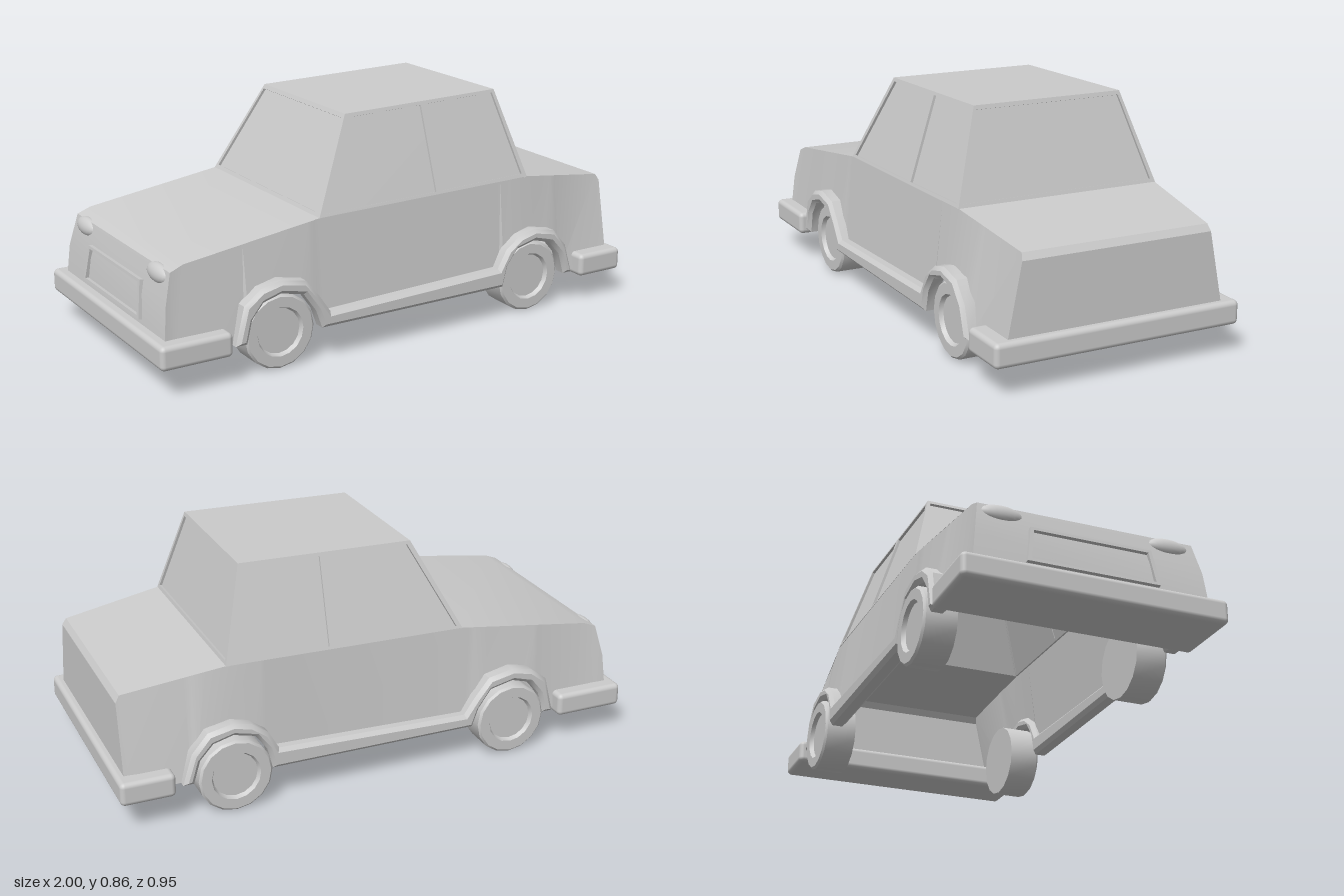
import * as THREE from 'three';
import { toCreasedNormals } from 'three/addons/utils/BufferGeometryUtils.js';
import { RoundedBoxGeometry } from 'three/addons/geometries/RoundedBoxGeometry.js';

const material = new THREE.MeshStandardMaterial({ color: 0xcccccc, side: THREE.DoubleSide });

function addMesh(parent, name, geometry) {
  const mesh = new THREE.Mesh(geometry, material);
  mesh.name = name;
  parent.add(mesh);
  return mesh;
}

// Geometry from four-cornered faces, corners anticlockwise seen from outside
function quads(faces) {
  const positions = [];
  for (const [a, b, c, d] of faces) positions.push(...a, ...b, ...c, ...a, ...c, ...d);
  const geometry = new THREE.BufferGeometry();
  geometry.setAttribute('position', new THREE.Float32BufferAttribute(positions, 3));
  return toCreasedNormals(geometry, 0.35);
}

// Height of a polyline at x
function heightAt(line, x) {
  let i = 1;
  while (i < line.length - 1 && x > line[i][0]) i++;
  const [x0, y0] = line[i - 1], [x1, y1] = line[i];
  return y0 + (y1 - y0) * THREE.MathUtils.clamp((x - x0) / (x1 - x0), 0, 1);
}

// Body half width: leans inward with height, more so towards both ends
function halfWidth(x, y) {
  const clamp = THREE.MathUtils.clamp;
  const lean = 0.106 + 0.15 * clamp((x - 0.58) / 0.38, 0, 1) + 0.06 * clamp((-x - 0.35) / 0.6, 0, 1);
  return 0.43 - Math.max(0, y - 0.2) * lean;
}

// Framed panel on four corners (bl, br, tr, tl from outside); holes in 0..1 coordinates
function addPanel(parent, name, corners, holes, depth = 0.012) {
  const [bl, br, tr, tl] = corners.map((c) => new THREE.Vector3(...c));
  const normal = br.clone().sub(bl).cross(tl.clone().sub(bl)).normalize();
  const at = (u, v, w) => bl.clone().lerp(br, u).lerp(tl.clone().lerp(tr, u), v).addScaledVector(normal, w);
  const toPoints = (list) => list.map(([u, v]) => new THREE.Vector2(u, v));
  const shape = new THREE.Shape(toPoints([[0, 0], [1, 0], [1, 1], [0, 1]]));
  shape.holes = holes.map((h) => new THREE.Path(toPoints([...h].reverse())));
  const frame = new THREE.ExtrudeGeometry(shape, { depth, bevelEnabled: false });
  const p = frame.attributes.position;
  for (let i = 0; i < p.count; i++) {
    const q = at(p.getX(i), p.getY(i), p.getZ(i) - depth);
    p.setXYZ(i, q.x, q.y, q.z);
  }
  addMesh(parent, name + 'Frame', toCreasedNormals(frame, 0.35));
  const panes = holes.map((h) => h.map(([u, v]) => at(u, v, -depth * 0.8).toArray()));
  addMesh(parent, name + 'Pane', quads(panes));
}

// Long profile of the lower body, nose to tail
const profile = [[-0.965, 0.13], [-0.95, 0.3], [-0.92, 0.42], [-0.87, 0.44], [-0.34, 0.515],
  [0.58, 0.53], [0.955, 0.475], [0.97, 0.45], [0.971, 0.13]];
// Wheel arch openings and the outer edge of the arch trim
const opening = [[-0.665, 0.13], [-0.645, 0.215], [-0.6, 0.27], [-0.53, 0.29], [-0.44, 0.27], [-0.39, 0.2], [-0.365, 0.13],
  [0.435, 0.13], [0.455, 0.21], [0.5, 0.27], [0.58, 0.29], [0.655, 0.27], [0.705, 0.215], [0.73, 0.13]];
const trimTop = [[-0.71, 0.13], [-0.675, 0.27], [-0.61, 0.32], [-0.53, 0.338], [-0.43, 0.318], [-0.375, 0.25], [-0.33, 0.185],
  [0.41, 0.205], [0.45, 0.275], [0.51, 0.318], [0.58, 0.335], [0.675, 0.315], [0.735, 0.245], [0.77, 0.13]];

function addBody(car) {
  const body = new THREE.Group();
  body.name = 'body';
  car.add(body);

  // Bonnet with nose, boot lid with tail
  const strip = (line) => quads(line.slice(1).map(([x1, y1], i) => {
    const [x0, y0] = line[i];
    const w0 = halfWidth(x0, y0), w1 = halfWidth(x1, y1);
    return [[x0, y0, w0], [x1, y1, w1], [x1, y1, -w1], [x0, y0, -w0]];
  }));
  addMesh(body, 'bonnetAndNose', strip(profile.slice(0, 5)));
  addMesh(body, 'bootAndTail', strip(profile.slice(5)));

  // Flanks, cut out above the wheels
  const xs = [...new Set([...profile, ...opening].map((p) => p[0]))].sort((a, b) => a - b);
  for (const side of [1, -1]) {
    const corner = (x, y) => [x, y, side * halfWidth(x, y)];
    const faces = xs.slice(1).map((x1, i) => {
      const x0 = xs[i];
      const face = [
        corner(x0, heightAt(opening, x0)), corner(x1, heightAt(opening, x1)),
        corner(x1, heightAt(profile, x1)), corner(x0, heightAt(profile, x0))];
      return side > 0 ? face : face.reverse();
    });
    addMesh(body, side > 0 ? 'flankA' : 'flankB', quads(faces));

    // Sill running into both wheel arches
    const outline = [...trimTop, ...[...opening].reverse()].map(([x, y]) => new THREE.Vector2(x, y));
    const bevel = 0.014;
    const trim = new THREE.ExtrudeGeometry(new THREE.Shape(outline), {
      depth: 0.04, bevelThickness: bevel, bevelSize: bevel, bevelOffset: -bevel, bevelSegments: 1 });
    trim.translate(0, 0, side > 0 ? 0.413 : -0.453);
    addMesh(body, 'sillAndArches', toCreasedNormals(trim, 0.5));
  }
}

function addCabin(car) {
  const cabin = new THREE.Group();
  cabin.name = 'cabin';
  car.add(cabin);
  // Corner posts: base and roof points at windscreen and rear
  const base = 0.397, top = 0.292;
  const fb = (s) => [-0.34, 0.515, s * base], ft = (s) => [-0.17, 0.847, s * top];
  const rb = (s) => [0.58, 0.53, s * base], rt = (s) => [0.49, 0.86, s * top];

  addMesh(cabin, 'roof', quads([[ft(1), rt(1), rt(-1), ft(-1)]]));
  const screen = [[[0.02, 0.04], [0.98, 0.04], [0.98, 0.955], [0.02, 0.955]]];
  addPanel(cabin, 'windscreen', [fb(-1), fb(1), ft(1), ft(-1)], screen);
  addPanel(cabin, 'rearWindow', [rb(1), rb(-1), rt(-1), rt(1)], screen);

  const sideWindows = [
    [[0.02, 0.03], [0.545, 0.03], [0.495, 0.96], [0.03, 0.96]],
    [[0.575, 0.03], [0.98, 0.04], [0.98, 0.965], [0.54, 0.965]]];
  const mirrored = sideWindows.map((h) => h.map(([u, v]) => [1 - u, v]).reverse());
  addPanel(cabin, 'sideWindows', [fb(1), rb(1), rt(1), ft(1)], sideWindows);
  addPanel(cabin, 'sideWindows', [rb(-1), fb(-1), ft(-1), rt(-1)], mirrored);
}

function addWheels(car) {
  // Tyre with a recessed hub on its outer face
  const points = [[0, -0.06], [0.138, -0.06], [0.138, 0.052], [0.13, 0.06], [0.092, 0.06], [0.084, 0.045], [0, 0.045]];
  const lathe = new THREE.LatheGeometry(points.map(([r, y]) => new THREE.Vector2(r, y)), 16);
  const geometry = toCreasedNormals(lathe.rotateX(Math.PI / 2), 0.5);
  for (const [name, x] of [['frontWheel', -0.52], ['rearWheel', 0.58]]) {
    for (const z of [0.37, -0.415]) {
      const wheel = addMesh(car, name, geometry);
      wheel.position.set(x, 0.138, z);
      if (z < 0) wheel.rotation.y = Math.PI;
    }
  }
}

export function createModel() {
  const car = new THREE.Group();
  car.name = 'car';
  addBody(car);
  addCabin(car);
  addWheels(car);

  // Bumpers wrapping both ends
  for (const [name, x, length] of [['frontBumper', -0.864, 0.272], ['rearBumper', 0.9, 0.2]]) {
    addMesh(car, name, new RoundedBoxGeometry(length, 0.088, 0.955, 3, 0.018)).position.set(x, 0.15, 0);
  }

  // Grille plate and headlights on the nose
  addPanel(car, 'grille', [[-0.972, 0.215, -0.24], [-0.972, 0.215, 0.24], [-0.953, 0.35, 0.22], [-0.953, 0.35, -0.22]],
    [[[0.03, 0.08], [0.97, 0.08], [0.97, 0.92], [0.03, 0.92]]], 0.018);
  for (const z of [0.3, -0.31]) {
    const lamp = addMesh(car, 'headlight', new THREE.SphereGeometry(1, 20, 12));
    lamp.scale.set(0.027, 0.034, 0.078);
    lamp.position.set(-0.916, 0.393, z);
    lamp.rotation.z = -0.25;
  }
  return car;
}
